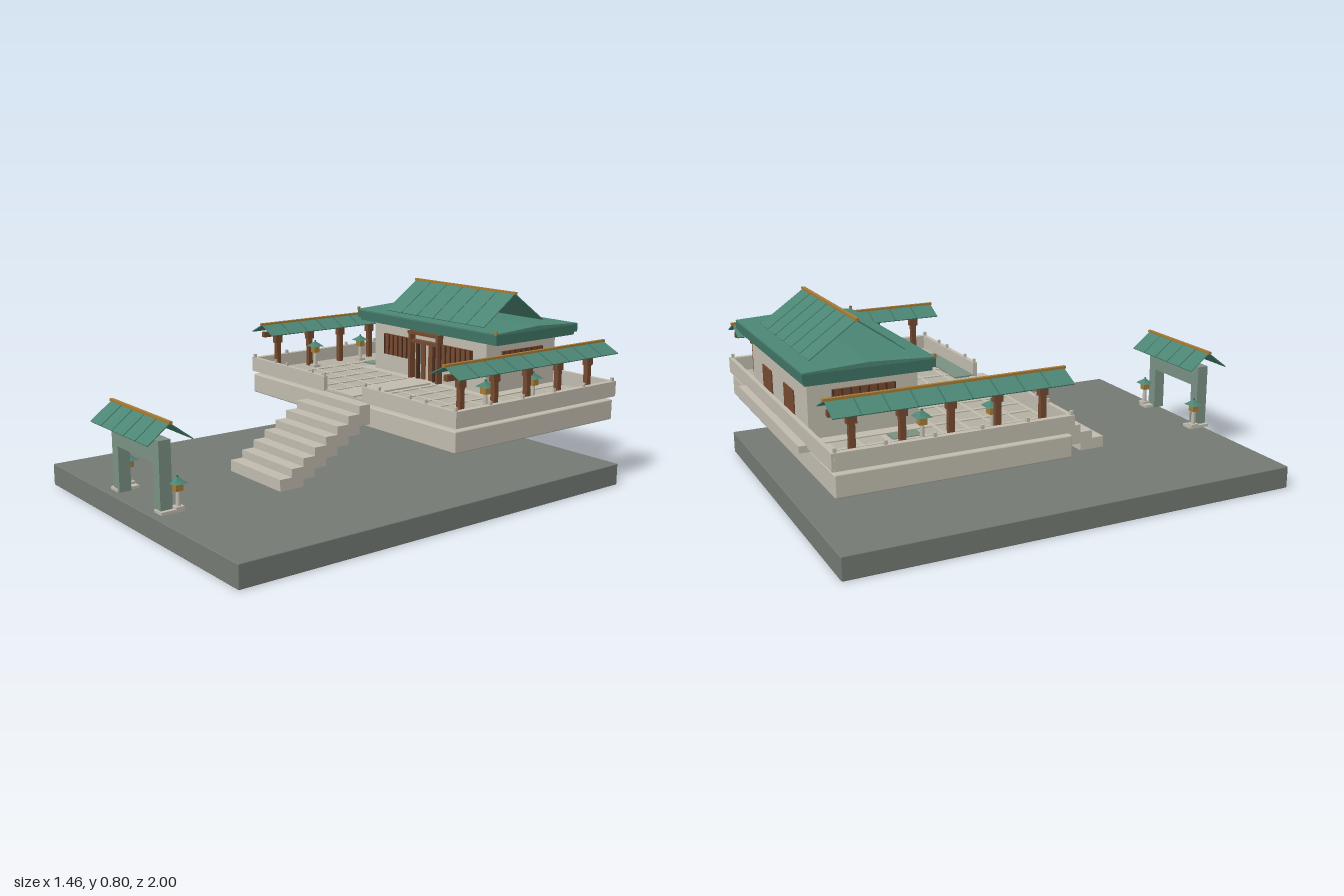
import * as THREE from 'three';
import { RoundedBoxGeometry } from 'three/addons/geometries/RoundedBoxGeometry.js';

const mat = (name, color) => Object.assign(new THREE.MeshStandardMaterial({ color }), { name });
const M = {
  ground: mat('grey ground', 0x747973),
  stone: mat('pale stone', 0xc1bcae),
  paving: mat('paving stone', 0xb4b0a2),
  teal: mat('teal tile', 0x4b8573),
  eave: mat('deep teal eave', 0x3f7363),
  sage: mat('sage green', 0x7a9183),
  gold: mat('gold', 0xa67c36),
  wood: mat('brown wood', 0x75492f),
  dark: mat('dark wood', 0x4a2d20),
};

function add(parent, name, geo, m, x = 0, y = 0, z = 0) {
  const mesh = new THREE.Mesh(geo, m);
  mesh.name = name;
  mesh.position.set(x, y, z);
  parent.add(mesh);
  return mesh;
}

// Box given by its lower and upper limits on each axis
function box(parent, name, m, x0, x1, y0, y1, z0, z1, round = 0) {
  const s = [x1 - x0, y1 - y0, z1 - z0];
  const geo = round ? new RoundedBoxGeometry(...s, 2, round) : new THREE.BoxGeometry(...s);
  return add(parent, name, geo, m, (x0 + x1) / 2, (y0 + y1) / 2, (z0 + z1) / 2);
}

function group(parent, name, x = 0, y = 0, z = 0) {
  const g = new THREE.Group();
  g.name = name;
  g.position.set(x, y, z);
  parent.add(g);
  return g;
}

// Two thin tiled slopes with a gold ridge; the ridge runs along local x, eaves at local y = 0
function gableRoof(parent, name, length, half, rise, ribs) {
  const g = group(parent, name);
  const slope = Math.hypot(half, rise);
  for (const s of [-1, 1]) {
    const side = group(g, 'roofSlope', 0, rise / 2, s * half / 2);
    side.rotation.x = s * Math.atan2(rise, half);
    add(side, 'tiles', new THREE.BoxGeometry(length, 0.004, slope), M.teal);
    for (let i = 1; i < ribs; i++) {
      add(side, 'tileRib', new THREE.BoxGeometry(0.005, 0.004, slope), M.eave, (i / ribs - 0.5) * length, 0.0015, 0);
    }
  }
  add(g, 'ridge', new THREE.BoxGeometry(length + 0.012, 0.01, 0.014), M.gold, 0, rise + 0.003, 0);
  return g;
}

// Stone lantern standing on y
function lantern(parent, x, y, z, stem) {
  const g = group(parent, 'lantern', x, y, z);
  add(g, 'lanternFoot', new THREE.BoxGeometry(0.035, 0.012, 0.035), M.stone, 0, 0.006, 0);
  add(g, 'lanternStem', new THREE.CylinderGeometry(0.008, 0.01, stem, 8), M.stone, 0, stem / 2, 0);
  add(g, 'lanternBody', new THREE.BoxGeometry(0.03, 0.03, 0.03), M.gold, 0, stem + 0.015, 0);
  const cap = add(g, 'lanternRoof', new THREE.ConeGeometry(0.042, 0.024, 4), M.teal, 0, stem + 0.041, 0);
  cap.rotation.y = Math.PI / 4;
  add(g, 'lanternTip', new THREE.BoxGeometry(0.006, 0.008, 0.006), M.eave, 0, stem + 0.053, 0);
}

// Lattice window facing local +z
function lattice(parent, name, w, h, bars, x, y, z, turn = 0) {
  const g = group(parent, name, x, y, z);
  g.rotation.y = turn;
  add(g, 'panel', new THREE.BoxGeometry(w, h, 0.012), M.wood);
  for (let i = 0; i <= bars; i++) {
    add(g, 'bar', new THREE.BoxGeometry(0.005, h, 0.006), M.dark, (i / bars - 0.5) * (w - 0.005), 0, 0.008);
  }
}

function buildTerrace(root) {
  const t = group(root, 'terrace');
  box(t, 'terraceSlab', M.stone, -0.685, 0.685, 0.28, 0.367, -0.955, -0.045, 0.006);
  box(t, 'deck', M.paving, -0.68, 0.68, 0.38, 0.386, -0.95, -0.05);
  box(t, 'hallPlinth', M.stone, -0.42, 0.42, 0.364, 0.39, -0.995, -0.48);
  box(t, 'path', M.stone, -0.065, 0.065, 0.386, 0.393, -0.48, -0.05);

  // Paving grid and planting beds
  for (const s of [-1, 1]) {
    for (let i = 0; i < 5; i++) {
      const x = s * (0.095 + i * 0.103);
      box(t, 'pavingStrip', M.stone, x - 0.008, x + 0.008, 0.386, 0.39, i > 3 ? -0.94 : -0.48, -0.06);
    }
    for (let i = 0; i < 9; i++) {
      const z = -0.07 - i * 0.103;
      const a = i < 5 ? 0.07 : 0.43, b = 0.54;
      box(t, 'pavingStrip', M.stone, Math.min(s * a, s * b), Math.max(s * a, s * b), 0.386, 0.389, z - 0.008, z + 0.008);
    }
  }
  box(t, 'frontBed', M.sage, 0.13, 0.535, 0.386, 0.393, -0.145, -0.06);
  box(t, 'sideBed', M.sage, -0.5, -0.43, 0.386, 0.393, -0.67, -0.56);

  // Parapet, open at the stairs
  for (const s of [-1, 1]) {
    box(t, 'sideParapet', M.stone, s * 0.68 - 0.012, s * 0.68 + 0.012, 0.38, 0.445, -0.955, -0.042);
    box(t, 'frontParapet', M.stone, s * 0.405 - 0.275, s * 0.405 + 0.275, 0.38, 0.445, -0.06, -0.042);
    for (let i = 0; i < 6; i++) {
      const z = -0.05 - i * 0.18;
      box(t, 'parapetPost', M.stone, s * 0.68 - 0.006, s * 0.68 + 0.006, 0.44, 0.46, z - 0.006, z + 0.006);
    }
    for (const x of [0.14, 0.23, 0.42, 0.51]) {
      box(t, 'parapetPost', M.stone, s * x - 0.005, s * x + 0.005, 0.44, 0.46, -0.057, -0.047);
    }
  }
  box(t, 'backParapet', M.stone, -0.69, 0.69, 0.38, 0.445, -0.965, -0.948);

  // Stairs of separate overlapping blocks
  for (let i = 0; i < 8; i++) {
    const z = 0.405 - i * 0.0563, top = 0.14 + i * 0.0343;
    box(t, 'step', M.stone, -0.18, 0.18, Math.max(0.09, top - 0.085), top, z - 0.0563, z);
  }
}

function buildHall(root) {
  const h = group(root, 'hall');
  box(h, 'walls', M.stone, -0.365, 0.365, 0.38, 0.612, -0.94, -0.52);

  // Windows on all sides
  for (const s of [-1, 1]) {
    lattice(h, 'frontLattice', 0.19, 0.095, 6, s * 0.19, 0.517, -0.516);
    lattice(h, 'sideLattice', 0.24, 0.095, 7, s * 0.368, 0.517, -0.73, s * Math.PI / 2);
    box(h, 'backWindow', M.wood, s * 0.145 - 0.062, s * 0.145 + 0.062, 0.435, 0.53, -0.945, -0.938);
    // Doorway posts and leaves
    box(h, 'doorPost', M.wood, s * 0.09 - 0.007, s * 0.09 + 0.007, 0.39, 0.605, -0.525, -0.49);
    box(h, 'innerPost', M.dark, s * 0.055 - 0.007, s * 0.055 + 0.007, 0.39, 0.56, -0.522, -0.505);
    box(h, 'doorLeaf', M.wood, s * 0.024 - 0.013, s * 0.024 + 0.013, 0.39, 0.555, -0.522, -0.514);
  }
  box(h, 'doorBeam', M.wood, -0.1, 0.1, 0.592, 0.606, -0.525, -0.487);
  box(h, 'doorLintel', M.wood, -0.097, 0.097, 0.553, 0.567, -0.525, -0.495);

  // Broad eaves with a shallow tiled top
  box(h, 'eaveSoffit', M.eave, -0.445, 0.445, 0.61, 0.626, -0.97, -0.495);
  box(h, 'eave', M.eave, -0.455, 0.455, 0.624, 0.655, -0.98, -0.485);
  const profile = new THREE.Shape([
    new THREE.Vector2(-0.2475, 0), new THREE.Vector2(0.2475, 0), new THREE.Vector2(0.2475, 0.006),
    new THREE.Vector2(0, 0.018), new THREE.Vector2(-0.2475, 0.006),
  ]);
  const top = add(h, 'lowerRoof', new THREE.ExtrudeGeometry(profile, { depth: 0.91, bevelEnabled: false }), M.teal, -0.455, 0.655, -0.7325);
  top.rotation.y = Math.PI / 2;
  for (const x of [-0.45, 0.45]) box(h, 'cornerFinial', M.gold, x - 0.005, x + 0.005, 0.655, 0.672, -0.492, -0.482);
  gableRoof(h, 'upperRoof', 0.635, 0.182, 0.128, 6).position.set(0, 0.665, -0.73);
}

function buildGallery(root, s) {
  const g = group(root, s > 0 ? 'leftGallery' : 'rightGallery');
  const x = s * 0.615;
  const roof = gableRoof(g, 'galleryRoof', 0.91, 0.083, 0.04, 9);
  roof.rotation.y = Math.PI / 2;
  roof.position.set(x, 0.565, -0.503);
  box(g, 'galleryBeam', M.wood, x - 0.01, x + 0.01, 0.548, 0.572, -0.95, -0.055);
  for (let i = 0; i < 5; i++) {
    const z = -0.135 - i * 0.183;
    box(g, 'galleryPost', M.wood, x - 0.011, x + 0.011, 0.38, 0.55, z - 0.011, z + 0.011);
    box(g, 'postCap', M.wood, x - 0.013, x + 0.013, 0.515, 0.552, z - 0.018, z + 0.018);
  }
  for (const z of [-0.317, -0.59]) lantern(g, s * 0.567, 0.386, z, 0.07);
}

function buildGate(root) {
  const g = group(root, 'gate');
  for (const s of [-1, 1]) {
    box(g, 'gatePillar', M.sage, s * 0.1625 - 0.0235, s * 0.1625 + 0.0235, 0.11, 0.385, 0.885, 0.935);
    box(g, 'pillarBase', M.stone, s * 0.175 - 0.028, s * 0.175 + 0.028, 0.11, 0.122, 0.845, 0.94);
    lantern(g, s * 0.192, 0.12, 0.865, 0.07);
  }
  box(g, 'gateLintel', M.sage, -0.14, 0.14, 0.295, 0.385, 0.885, 0.935);
  gableRoof(g, 'gateRoof', 0.455, 0.092, 0.07, 5).position.set(0, 0.385, 0.908);
}

export function createModel() {
  const root = new THREE.Group();
  root.name = 'templeCourt';
  box(root, 'groundSlab', M.ground, -0.728, 0.728, 0, 0.092, -0.96, 0.95, 0.004);
  buildTerrace(root);
  buildHall(root);
  for (const s of [-1, 1]) buildGallery(root, s);
  buildGate(root);
  return root;
}
